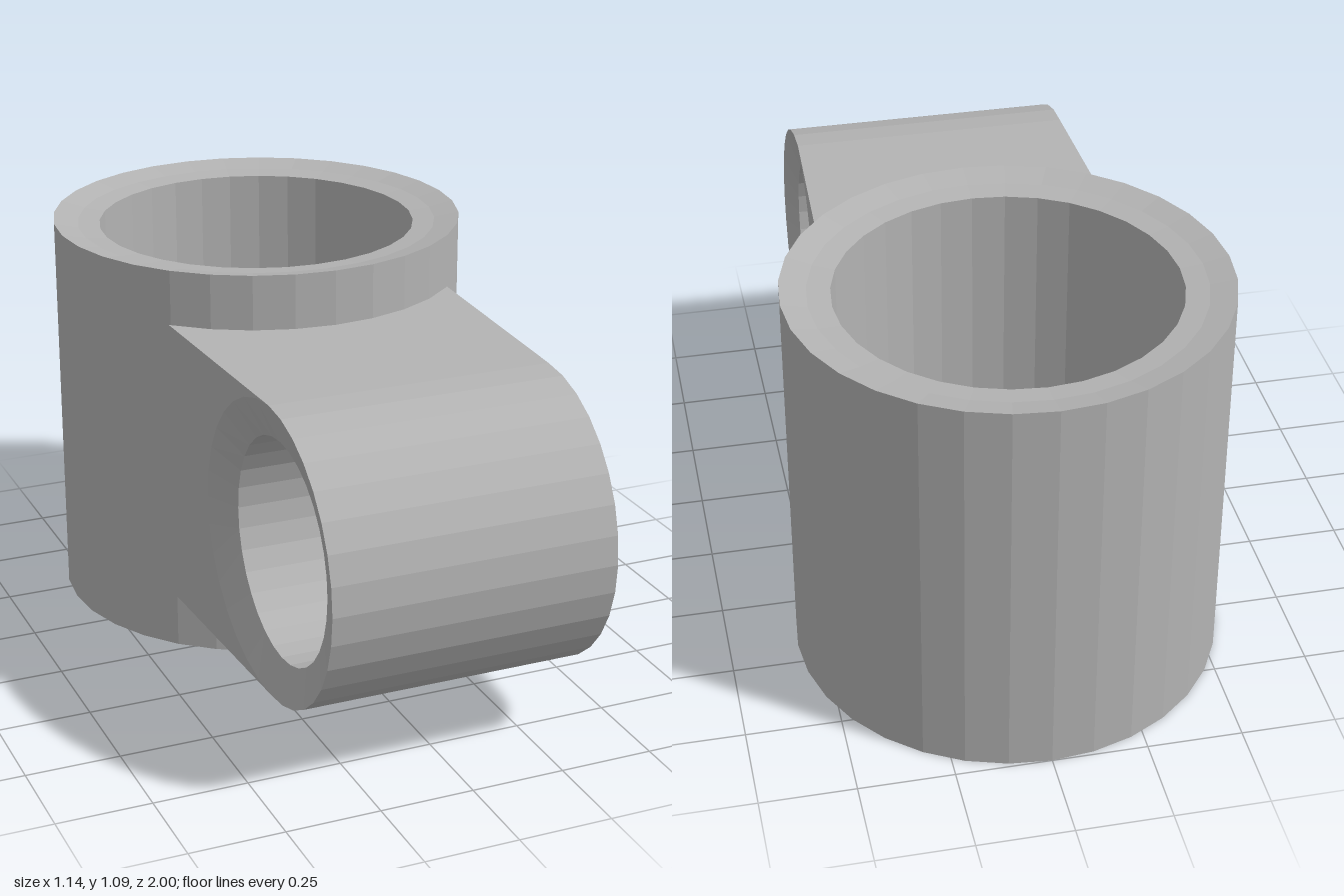
import * as THREE from 'three';

const H = 1.088;                      // sleeve height
const SLEEVE_Z = -0.432, SLEEVE_R = 0.568;
const PIN_Z = 0.607, PIN_Y = 0.545, PIN_R = 0.393;
const HALF = 0.38;                    // half width of the cross barrel
const SEGMENTS = 32;

// Ring turned from a closed profile
function turned(points) {
  return new THREE.LatheGeometry(points.map(([r, y]) => new THREE.Vector2(r, y)), SEGMENTS);
}

// Move every vertex by a rule, then give each face its own flat normal
function warpFlat(geometry, rule) {
  const p = geometry.attributes.position;
  const v = new THREE.Vector3();
  for (let i = 0; i < p.count; i++) {
    v.fromBufferAttribute(p, i);
    if (rule) rule(v);
    p.setXYZ(i, v.x, v.y, v.z);
  }
  const flat = geometry.index ? geometry.toNonIndexed() : geometry;
  flat.computeVertexNormals();
  return flat;
}

// Side faces flare slightly from the barrel axis back to the sleeve
const flare = (z) => 1 + 0.107 * Math.max(0, PIN_Z - z);

export function createModel() {
  const model = new THREE.Group();
  model.name = 'crossClamp';
  const metal = new THREE.MeshStandardMaterial({ color: 0xb3b3b3, flatShading: true });
  metal.name = 'greyMetal';

  const add = (name, geometry) => {
    const mesh = new THREE.Mesh(geometry, metal);
    mesh.name = name;
    model.add(mesh);
  };

  // Upright sleeve with shallow dished ends
  const sleeve = turned([
    [SLEEVE_R, 0], [SLEEVE_R, H], [0.5, H - 0.015], [0.44, H - 0.021],
    [0.44, 0.021], [0.5, 0.015], [SLEEVE_R, 0],
  ]);
  sleeve.translate(0, 0, SLEEVE_Z);
  add('uprightSleeve', warpFlat(sleeve));

  // Cross barrel, its rims following the flare of the arm
  const barrel = turned([
    [PIN_R, -HALF], [PIN_R, HALF], [0.293, 0.35], [0.293, -0.35], [PIN_R, -HALF],
  ]);
  barrel.rotateZ(-Math.PI / 2).translate(0, PIN_Y, PIN_Z);
  add('crossBarrel', warpFlat(barrel, (v) => {
    if (Math.abs(v.x) > 0.37) v.x *= flare(v.z);
  }));

  // Arm between barrel and sleeve, its back end curved to stay inside the sleeve wall
  const END = -0.1;
  const side = new THREE.Shape();
  side.moveTo(PIN_Z, PIN_Y + PIN_R);
  side.lineTo(END, PIN_Y + PIN_R);
  side.lineTo(END, PIN_Y - PIN_R);
  side.lineTo(PIN_Z, PIN_Y - PIN_R);
  side.absarc(PIN_Z, PIN_Y, PIN_R, -Math.PI / 2, -Math.PI * 1.5, true);
  const arm = new THREE.ExtrudeGeometry(side, {
    depth: HALF * 2, steps: 12, curveSegments: SEGMENTS / 4, bevelEnabled: false,
  });
  arm.translate(0, 0, -HALF).rotateY(-Math.PI / 2);
  add('arm', warpFlat(arm, (v) => {
    const atEnd = v.z < END + 0.001;
    if (atEnd) v.z = SLEEVE_Z + Math.sqrt(0.5 ** 2 - v.x ** 2);
    v.x *= flare(v.z);
  }));

  return model;
}
